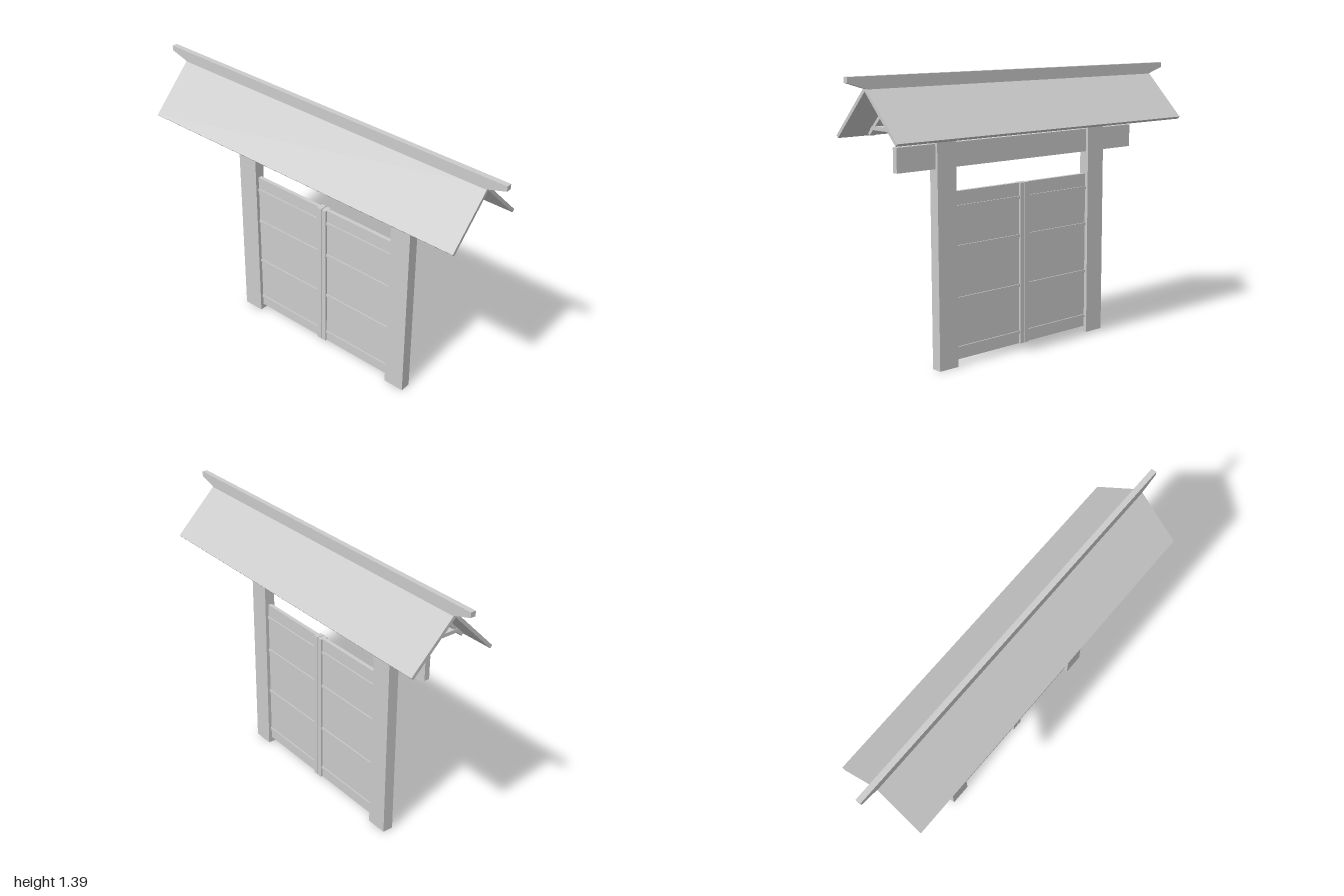
import * as THREE from 'three';

const material = new THREE.MeshStandardMaterial({ color: 0xcccccc, flatShading: true });

export function createModel() {
  const model = new THREE.Group();
  model.name = 'roofedGate';

  const add = (name, geometry, x = 0, y = 0, z = 0) => {
    const mesh = new THREE.Mesh(geometry, material);
    mesh.name = name;
    mesh.position.set(x, y, z);
    model.add(mesh);
    return mesh;
  };
  // box given by its centre in x and z, and its lower and upper height
  const box = (name, w, y0, y1, d, x = 0, z = 0) =>
    add(name, new THREE.BoxGeometry(w, y1 - y0, d), x, (y0 + y1) / 2, z);
  // outline in the x-y plane, extruded along z about a centre
  const profile = (name, points, depth, z = 0) => {
    const shape = new THREE.Shape(points.map(([x, y]) => new THREE.Vector2(x, y)));
    const geometry = new THREE.ExtrudeGeometry(shape, { depth, bevelEnabled: false });
    return add(name, geometry.translate(0, 0, -depth / 2), 0, 0, z);
  };
  const mirrored = (points, s) => points.map(([x, y]) => [s * x, y]);

  // Posts and the long cross beam through them
  for (const s of [-1, 1]) box('post', 0.055, 0, 1.134, 0.11, 0, s * 0.485);
  box('crossBeam', 0.027, 0.955, 1.07, 1.51);

  // Double doors with horizontal battens and a strip at the meeting edge
  for (const s of [-1, 1]) {
    box('door', 0.02, 0.03, 0.84, 0.427, 0, s * 0.2155);
    for (const y of [0.08, 0.32, 0.57, 0.76])
      box('doorBatten', 0.032, y, y + 0.014, 0.427, 0, s * 0.2155);
    box('meetingStrip', 0.04, 0.03, 0.84, 0.026, 0, s * 0.015);
  }

  // Roof slopes at 45 degrees
  const slope = [[0, 1.345], [0, 1.322], [0.217, 1.105], [0.2285, 1.1165]];
  for (const s of [-1, 1]) profile('roofSlope', mirrored(slope, s), 1.81);

  // Ridge beam with tapered undersides at both ends
  const ridge = [[-1, 1.388], [-1, 1.363], [-0.82, 1.308], [0.82, 1.308], [1, 1.363], [1, 1.388]];
  profile('ridgeBeam', ridge, 0.027).rotation.y = Math.PI / 2;

  // Trusses: paired rafters and a tie, with king posts on the end ones
  const rafter = [[0, 1.322], [0, 1.3], [0.194, 1.106], [0.205, 1.117]];
  for (let i = 0; i < 6; i++) {
    const z = -0.735 + i * 0.294;
    for (const s of [-1, 1]) profile('rafter', mirrored(rafter, s), 0.035, z);
    const tie = [[-0.188, 1.134], [0.188, 1.134], [0.17, 1.152], [-0.17, 1.152]];
    profile('tieBeam', tie, 0.04, z);
    if (i === 0 || i === 5) box('kingPost', 0.027, 1.134, 1.315, 0.05, 0, z);
  }
  return model;
}
